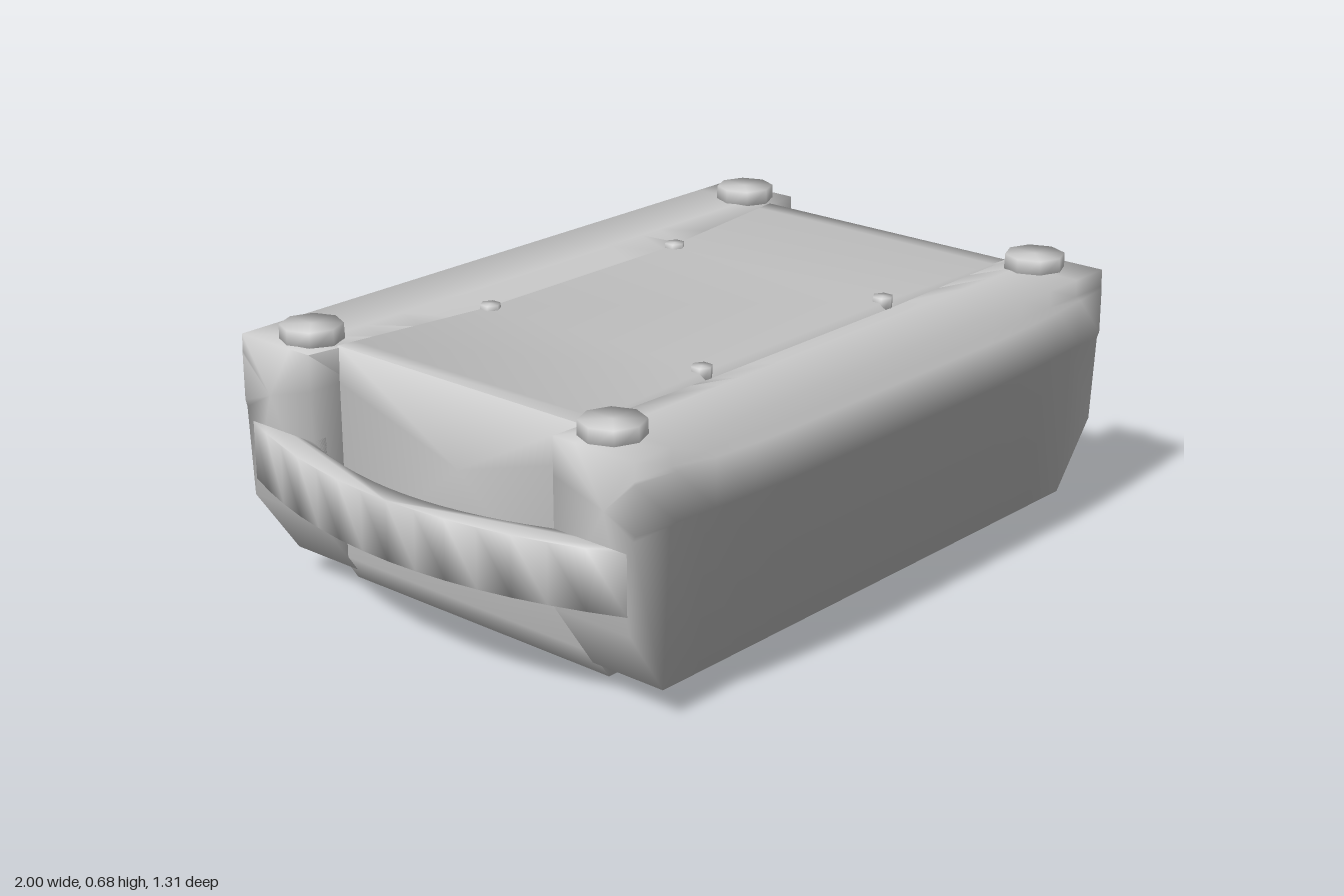
import * as THREE from 'three';
import { mergeVertices, toCreasedNormals } from 'three/addons/utils/BufferGeometryUtils.js';

const material = new THREE.MeshStandardMaterial({ color: 0xcccccc });
const CREASE = 1.62;

// Joins [z, y] cross-sections placed along x and closes both ends.
function loft(stations, section) {
  const pos = [], idx = [];
  const rings = stations.map((x) => section(x, Math.abs(x)));
  const n = rings[0].length, last = (rings.length - 1) * n;
  rings.forEach((ring, k) => ring.forEach(([z, y]) => pos.push(stations[k], y, z)));
  for (let k = 0; k < rings.length - 1; k++) {
    for (let i = 0; i < n; i++) {
      const j = (i + 1) % n, a = k * n + i, b = k * n + j;
      idx.push(a, a + n, b, b, a + n, b + n);
    }
  }
  [0, rings.length - 1].forEach((k) => {
    const c = pos.length / 3;
    const mean = (d) => rings[k].reduce((s, p) => s + p[d], 0) / n;
    pos.push(stations[k], mean(1), mean(0));
    for (let i = 0; i < n; i++) {
      const j = (i + 1) % n;
      if (k === 0) idx.push(c, i, j);
      else idx.push(c, last + j, last + i);
    }
  });
  const geo = new THREE.BufferGeometry();
  geo.setAttribute('position', new THREE.Float32BufferAttribute(pos, 3));
  geo.setIndex(idx);
  return toCreasedNormals(geo, CREASE);
}

const smoothEdges = (geo) => {
  geo.deleteAttribute('uv');
  geo.deleteAttribute('normal');
  return toCreasedNormals(mergeVertices(geo), CREASE);
};

const ramp = (v, a, b) => THREE.MathUtils.clamp((v - a) / (b - a), 0, 1);
const mirror = (half) => [...half.map((v) => -v).reverse(), ...half];

export function createModel() {
  const model = new THREE.Group();
  const add = (name, geo, x = 0, y = 0, z = 0, turn = 0) => {
    const mesh = new THREE.Mesh(geo, material);
    mesh.name = name;
    mesh.position.set(x, y, z);
    mesh.rotation.y = turn;
    model.add(mesh);
  };

  // Middle body with chamfered lower ends and a slightly sunken top
  add('body', loft(mirror([0.33, 0.73, 0.78]), (x, ax) => {
    const bottom = 0.035 + 0.075 * ramp(ax, 0.73, 0.78);
    const t = ramp(ax, 0.33, 0.78);
    const w = 0.347 + 0.04 * t, top = 0.63 + 0.01 * t;
    return [[-0.41, bottom], [0.41, bottom], [0.39, 0.55], [w, top], [-w, top], [-0.39, 0.55]];
  }));

  // Thick side panels with a bowed rib along the outside
  const panel = loft(mirror([0.2, 0.33, 0.4, 0.52, 0.64, 0.755, 0.87]), (x, ax) => {
    const bottom = 0.07 + 0.17 * ramp(ax, 0.755, 0.87);
    const rib = 0.657 - 0.037 * ramp(ax, 0.4, 0.87) ** 1.5;
    const t = ramp(ax, 0.33, 0.87);
    return [
      [0.385, bottom], [0.592 + (bottom - 0.07) * 0.06, bottom], [0.614, 0.46],
      [rib, 0.475], [rib, 0.59], [0.619, 0.597], [0.618, 0.64], [0.45, 0.64],
      [0.36 + 0.026 * t, 0.615 + 0.025 * t], [0.385, 0.55],
    ];
  });
  add('frontPanel', panel);
  add('backPanel', panel, 0, 0, 0, Math.PI);

  // Crescent carrying handles at both ends
  const crescent = new THREE.Shape();
  crescent.moveTo(0.83, -0.595);
  crescent.lineTo(0.87, -0.595);
  crescent.quadraticCurveTo(1.13, 0, 0.87, 0.595);
  crescent.lineTo(0.83, 0.595);
  crescent.lineTo(0.83, 0.385);
  crescent.lineTo(0.87, 0.385);
  crescent.quadraticCurveTo(1.025, 0, 0.87, -0.385);
  crescent.lineTo(0.83, -0.385);
  const handle = new THREE.ExtrudeGeometry(crescent, { depth: 0.145, bevelEnabled: false, curveSegments: 14 });
  handle.rotateX(-Math.PI / 2);
  const handleGeo = smoothEdges(handle);
  add('leftHandle', handleGeo, 0, 0.283, 0);
  add('rightHandle', handleGeo, 0, 0.283, 0, Math.PI);

  // Corner studs and small pins on the top
  const stud = smoothEdges(new THREE.CylinderGeometry(0.075, 0.077, 0.05, 8));
  const pin = smoothEdges(new THREE.CylinderGeometry(0.026, 0.026, 0.04, 6));
  for (const sx of [-1, 1]) {
    for (const sz of [-1, 1]) {
      add('cornerStud', stud, sx * 0.78, 0.65, sz * 0.475);
      add('topPin', pin, sx * 0.335, 0.622, sz * 0.337);
    }
  }

  // Round foot under the middle
  add('baseDisc', new THREE.CylinderGeometry(0.224, 0.224, 0.05, 32), 0, 0.025, 0);
  return model;
}
